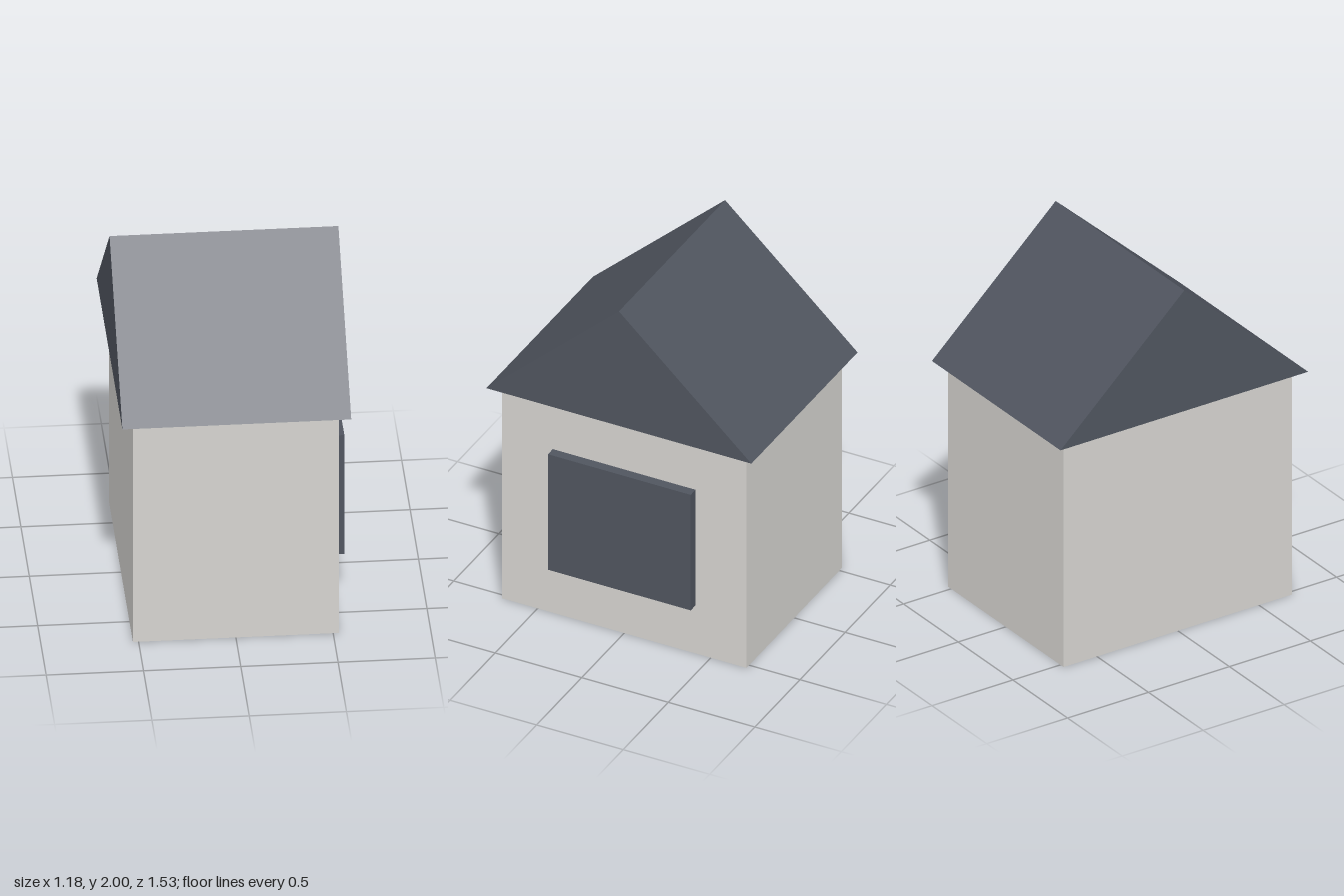
import * as THREE from 'three';

export function createModel() {
  const model = new THREE.Group();
  const wall = new THREE.MeshStandardMaterial({ name: 'palePlaster', color: 0xd6d4d0 });
  const slate = new THREE.MeshStandardMaterial({ name: 'slateGrey', color: 0x50555f });

  const add = (name, geometry, material, x, y, z) => {
    const mesh = new THREE.Mesh(geometry, material);
    mesh.name = name;
    mesh.position.set(x, y, z);
    model.add(mesh);
  };

  // Plain block of walls
  add('walls', new THREE.BoxGeometry(1.058, 1.3, 1.412), wall, 0, 0.65, 0);

  // Gabled roof: triangle extruded along x, ridge across the house
  const gable = new THREE.Shape([
    new THREE.Vector2(-0.765, 0),
    new THREE.Vector2(0.765, 0),
    new THREE.Vector2(0, 0.7),
  ]);
  const roof = new THREE.ExtrudeGeometry(gable, { depth: 1.176, bevelEnabled: false });
  roof.translate(0, 0, -0.588).rotateY(Math.PI / 2);
  add('roof', roof, slate, 0, 1.3, 0);

  // Raised window panel on the left wall
  add('window', new THREE.BoxGeometry(0.054, 0.706, 0.824), slate, 0.556, 0.647, 0);

  return model;
}
